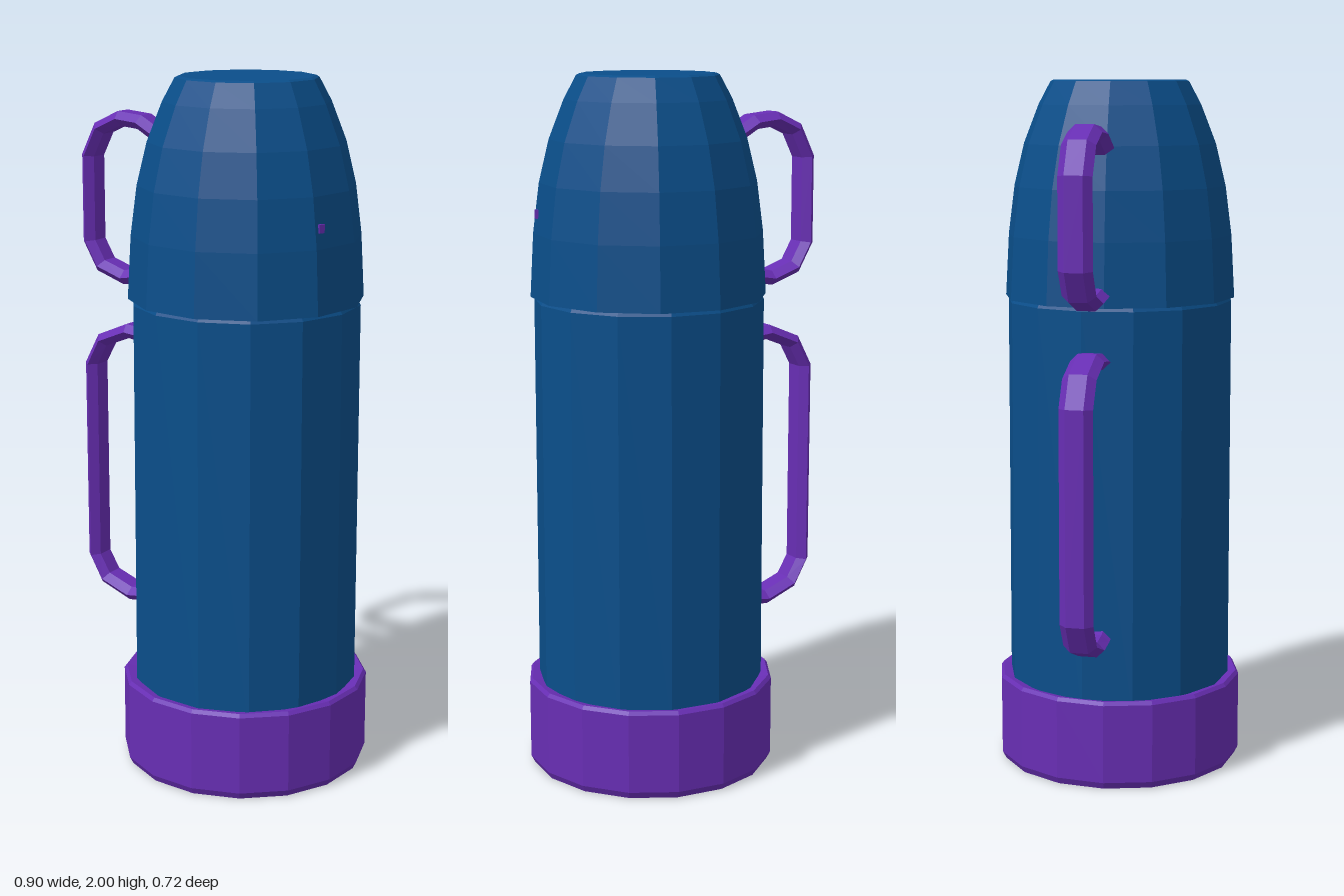
import * as THREE from 'three';

const blue = new THREE.MeshStandardMaterial({ color: 0x0a4e8a, flatShading: true });
blue.name = 'blue';
const purple = new THREE.MeshStandardMaterial({ color: 0x682eb4, flatShading: true });
purple.name = 'purple';

const AXIS_X = 0.09;

// Faceted round part from [radius, height] pairs, bottom to top
function turned(name, profile, sides, material, turn = 0) {
  const points = profile.map(([r, y]) => new THREE.Vector2(r, y));
  const mesh = new THREE.Mesh(new THREE.LatheGeometry(points, sides), material);
  mesh.name = name;
  mesh.position.x = AXIS_X;
  mesh.rotation.y = turn;
  return mesh;
}

// Flat strap with a bevelled cross-section, swept along a path in the xy plane
function strap(name, path) {
  const section = [[-0.021, -0.026], [-0.021, 0.026], [0, 0.048], [0.021, 0.026], [0.021, -0.026], [0, -0.048]];
  const n = section.length;
  const pos = [];
  const index = [];
  path.forEach(([x, y], i) => {
    const a = path[Math.max(i - 1, 0)];
    const b = path[Math.min(i + 1, path.length - 1)];
    const t = new THREE.Vector2(b[0] - a[0], b[1] - a[1]).normalize();
    for (const [o, z] of section) pos.push(x - t.y * o, y + t.x * o, z);
    if (i === 0) return;
    for (let k = 0; k < n; k++) {
      const p = (i - 1) * n + k;
      const q = (i - 1) * n + (k + 1) % n;
      index.push(p, p + n, q, q, p + n, q + n);
    }
  });
  // End caps
  const last = (path.length - 1) * n;
  for (let k = 1; k < n - 1; k++) {
    index.push(0, k, k + 1, last, last + k + 1, last + k);
  }
  const geometry = new THREE.BufferGeometry();
  geometry.setAttribute('position', new THREE.Float32BufferAttribute(pos, 3));
  geometry.setIndex(index);
  geometry.computeVertexNormals();
  const mesh = new THREE.Mesh(geometry, purple);
  mesh.name = name;
  return mesh;
}

export function createModel() {
  const group = new THREE.Group();
  group.name = 'vacuumFlask';

  // Base with a bevelled upper lip
  group.add(turned('base', [[0, 0], [0.35, 0], [0.36, 0.02], [0.36, 0.25], [0.352, 0.26], [0.31, 0.25]], 16, purple, 0.1));

  // Straight body, reaching up into the cup
  group.add(turned('body', [[0, 0.2], [0.328, 0.2], [0.326, 1.37], [0.318, 1.385], [0, 1.385]], 14, blue, 0.12));

  // Domed cup that serves as the lid
  group.add(turned('cup', [
    [0, 1.38], [0.335, 1.38], [0.325, 1.56], [0.307, 1.7], [0.278, 1.82],
    [0.235, 1.93], [0.2, 1.995], [0.19, 2], [0, 2],
  ], 12, blue, 0.1));

  // Handles, from the top joint round to the bottom joint
  group.add(strap('cupHandle', [
    [-0.18, 1.815], [-0.25, 1.855], [-0.32, 1.862], [-0.39, 1.83], [-0.43, 1.75],
    [-0.43, 1.5], [-0.39, 1.43], [-0.31, 1.402], [-0.2, 1.42],
  ]));
  group.add(strap('bodyHandle', [
    [-0.18, 1.215], [-0.24, 1.235], [-0.3, 1.242], [-0.39, 1.205], [-0.43, 1.13],
    [-0.43, 0.53], [-0.39, 0.46], [-0.3, 0.425], [-0.24, 0.432], [-0.18, 0.455],
  ]));

  // Tiny mark on the side of the cup
  const mark = new THREE.Mesh(new THREE.BoxGeometry(0.009, 0.024, 0.018), purple);
  mark.name = 'cupMark';
  mark.position.set(0.386, 1.615, 0.11);
  mark.rotation.y = -0.36;
  group.add(mark);

  return group;
}
